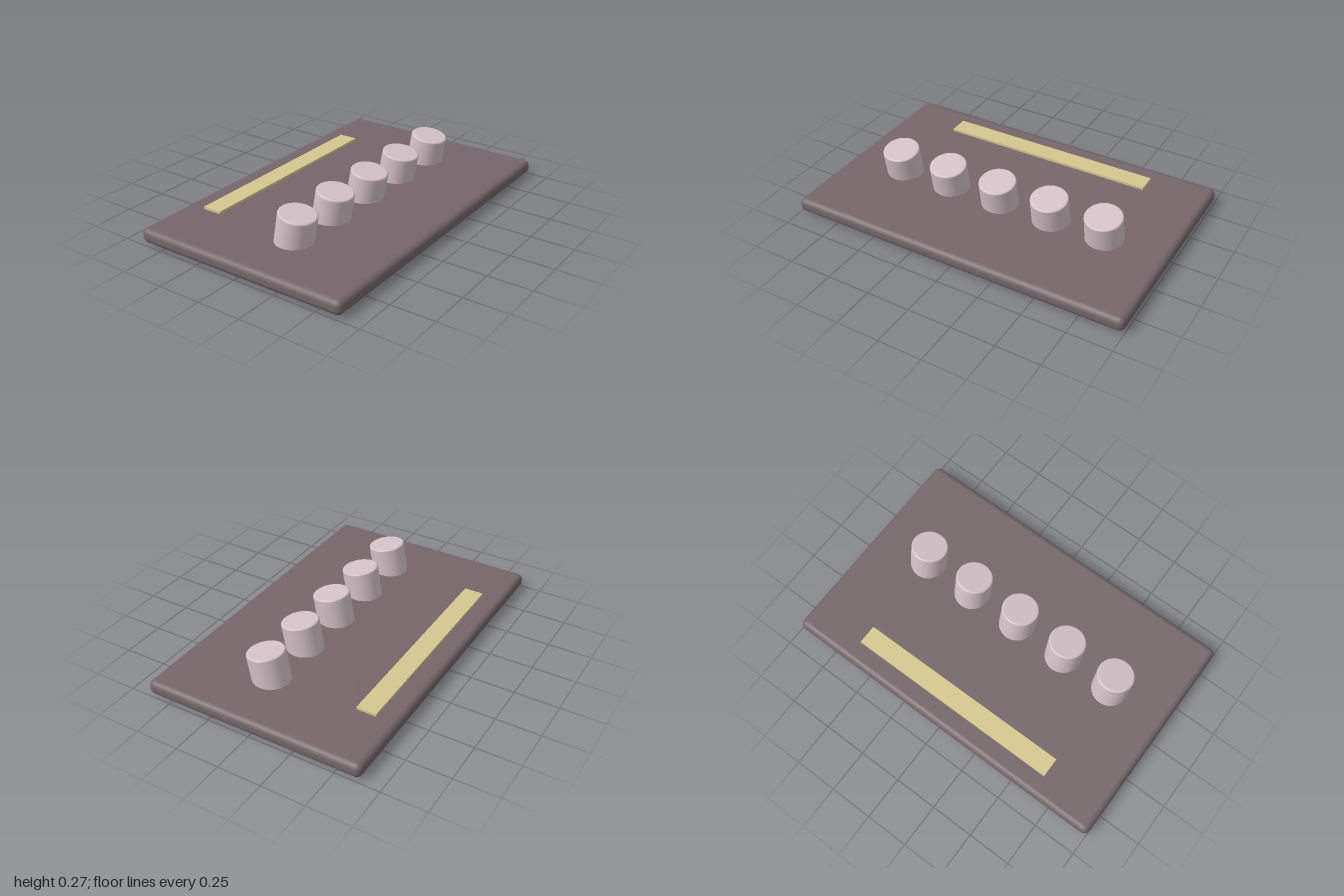
import * as THREE from 'three';
import { RoundedBoxGeometry } from 'three/addons/geometries/RoundedBoxGeometry.js';

const material = (color) => new THREE.MeshStandardMaterial({ color });

// Cylinder profile with softly rounded rims, from bottom axis to top axis
function knobGeometry(radius, length, bevel) {
  const h = length / 2;
  const points = [new THREE.Vector2(0, -h), new THREE.Vector2(radius - bevel - 0.001, -h)];
  for (const [cy, start] of [[-h + bevel, -Math.PI / 2], [h - bevel, 0]]) {
    for (let i = 0; i <= 4; i++) {
      const a = start + (i / 4) * (Math.PI / 2);
      points.push(new THREE.Vector2(radius - bevel + Math.cos(a) * bevel, cy + Math.sin(a) * bevel));
    }
  }
  points.push(new THREE.Vector2(radius - bevel - 0.001, h), new THREE.Vector2(0, h));
  return new THREE.LatheGeometry(points, 48);
}

export function createModel() {
  const model = new THREE.Group();
  model.name = 'controlPanel';

  const add = (name, geometry, mat, x, y, z) => {
    const mesh = new THREE.Mesh(geometry, mat);
    mesh.name = name;
    mesh.position.set(x, y, z);
    model.add(mesh);
    return mesh;
  };

  // Base plate with rounded edges
  add('plate', new RoundedBoxGeometry(2, 0.083, 1.28, 5, 0.034), material(0x75666a), 0, 0.052, 0);

  // Raised label strip near the back edge
  add('strip', new THREE.BoxGeometry(1.28, 0.03, 0.113), material(0xd6c78f), 0, 0.093, -0.467);

  // Row of knobs leaning forward, passing through the plate
  const knob = knobGeometry(0.105, 0.244, 0.01);
  const knobMaterial = material(0xd5c2c8);
  for (let i = -2; i <= 2; i++) {
    const mesh = add(`knob${i + 3}`, knob, knobMaterial, i * 0.321, 0.137, 0.108);
    mesh.rotation.x = THREE.MathUtils.degToRad(10);
  }

  return model;
}
